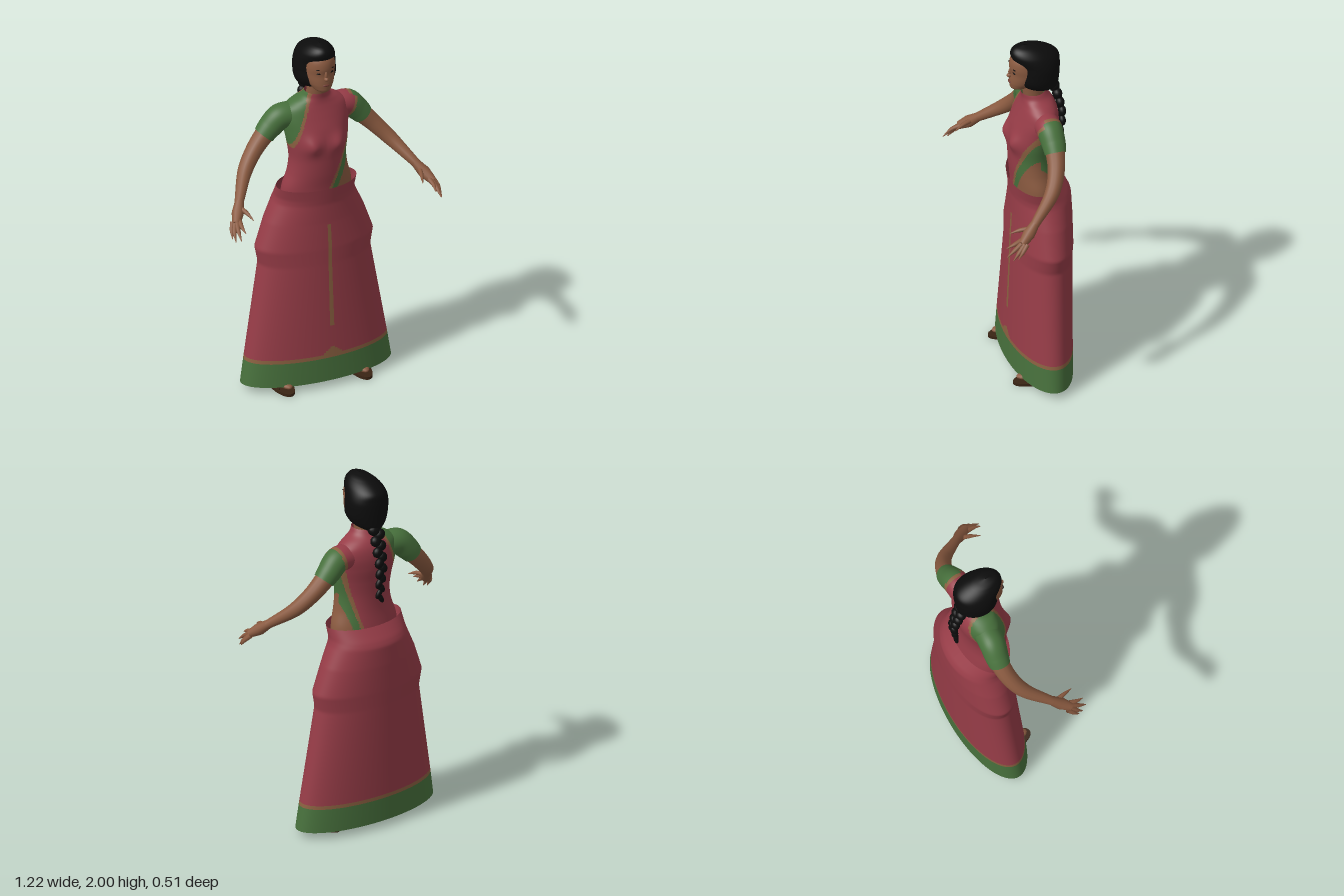
import * as THREE from 'three';

const mat = (name, color, side = THREE.DoubleSide) => {
  const m = new THREE.MeshStandardMaterial({ color, side });
  m.name = name;
  return m;
};

export function createModel() {
  const red = mat('red cloth', 0x963c47), green = mat('green cloth', 0x47703c);
  const gold = mat('gold trim', 0x8a6040), skin = mat('skin', 0x8a5a40);
  const hair = mat('black hair', 0x0c0c0c), leather = mat('brown leather', 0x3a2414);
  const dark = mat('dark eye', 0x17100d), lip = mat('lip', 0x6e3a30);
  const palette = [red, gold, green, skin];
  const RED = 0, GOLD = 1, GREEN = 2, SKIN = 3;

  const model = new THREE.Group();
  model.name = 'womanInDrapedDress';
  const add = (name, geo, material, parent = model) => {
    const mesh = new THREE.Mesh(geo, material);
    mesh.name = name;
    parent.add(mesh);
    return mesh;
  };

  // Elliptical loft; each ring is [y, half width, front z, back z]
  function loft(rings, n, rows, smooth = true, bump = null) {
    const ys = rings.map(r => r[0]), vals = rings.flatMap(r => r.slice(1));
    const Interp = smooth ? THREE.CubicInterpolant : THREE.LinearInterpolant;
    const f = new Interp(ys, vals, 3, new Float32Array(3));
    const pos = [], idx = [], y0 = ys[0], y1 = ys[ys.length - 1];
    for (let j = 0; j <= rows; j++) {
      const y = y0 + (y1 - y0) * j / rows;
      const [w, zf, zb] = f.evaluate(y);
      for (let i = 0; i < n; i++) {
        const a = i / n * Math.PI * 2, x = w * Math.sin(a), c = Math.cos(a);
        const z = (zf + zb) / 2 + (zf - zb) / 2 * c;
        pos.push(x, y, z + (bump && c > 0 ? bump(x, y) * c : 0));
        if (j < rows) {
          const k = j * n + i, l = j * n + (i + 1) % n;
          idx.push(k, l, k + n, l, l + n, k + n);
        }
      }
    }
    const geo = new THREE.BufferGeometry();
    geo.setAttribute('position', new THREE.Float32BufferAttribute(pos, 3));
    geo.setIndex(idx);
    geo.computeVertexNormals();
    return geo;
  }

  // Tapering tube through points, one radius per point
  function limb(points, radii, n = 20, sides = 14) {
    const curve = new THREE.CatmullRomCurve3(points.map(p => new THREE.Vector3(...p)));
    const geo = new THREE.TubeGeometry(curve, n, 1, sides);
    const p = geo.attributes.position, v = new THREE.Vector3();
    for (let i = 0; i <= n; i++) {
      const c = curve.getPointAt(i / n), t = curve.getUtoTmapping(i / n) * (radii.length - 1);
      const k = Math.min(Math.floor(t), radii.length - 2);
      const r = THREE.MathUtils.lerp(radii[k], radii[k + 1], t - k);
      for (let j = 0; j <= sides; j++) {
        const q = i * (sides + 1) + j;
        v.fromBufferAttribute(p, q).sub(c).multiplyScalar(r).add(c);
        p.setXYZ(q, v.x, v.y, v.z);
      }
    }
    return geo;
  }

  // Sorts quads into material groups by a rule on their centre
  function paint(geo, pick) {
    const idx = geo.index.array, p = geo.attributes.position, buckets = palette.map(() => []);
    for (let q = 0; q < idx.length / 6; q++) {
      const c = new THREE.Vector3(), quad = idx.slice(q * 6, q * 6 + 6);
      quad.forEach(i => c.add(new THREE.Vector3().fromBufferAttribute(p, i)));
      buckets[pick(c.divideScalar(6), q)].push(...quad);
    }
    geo.setIndex(buckets.flat());
    let start = 0;
    buckets.forEach((b, m) => { if (b.length) geo.addGroup(start, b.length, m); start += b.length; });
    return geo;
  }

  const ball = (name, material, [x, y, z], [sx, sy, sz], parent) => {
    const m = add(name, new THREE.SphereGeometry(1, 18, 12), material, parent);
    m.position.set(x, y, z);
    m.scale.set(sx, sy, sz);
    return m;
  };

  // Skirt with green hem, gold line and narrow front stripe
  const skirt = loft([
    [0.04, 0.43, 0.10, -0.237], [0.17, 0.41, 0.095, -0.24], [0.72, 0.318, 0.072, -0.252],
    [0.81, 0.335, 0.07, -0.255], [0.96, 0.282, 0.062, -0.258], [1.07, 0.232, 0.06, -0.257],
    [1.10, 0.224, 0.063, -0.243], [1.165, 0.225, 0.07, -0.19]], 192, 110, false);
  add('skirt', paint(skirt, (c, q) => {
    const peak = c.z > 0 ? 0.04 * Math.exp(-((c.x - 0.03) ** 2) / 0.0016) : 0;
    if (c.y < 0.175) return GREEN;
    if (c.y < 0.192 + peak) return GOLD;
    const column = q % 192;
    return column >= 1 && column < 3 && c.y > 0.36 && c.y < 0.955 ? GOLD : RED;
  }), palette);

  // Drape over the model's left shoulder, blouse beneath, bare waist on the left
  const lerp = THREE.MathUtils.mapLinear;
  function drape({ x, y, z }) {
    const front = z > -0.06;
    const right = front ? lerp(y, 1.15, 1.6, 0.02, 0.215) : lerp(y, 1.15, 1.6, 0.07, 0.185);
    const left = y > 1.41 ? lerp(y, 1.41, 1.68, -0.172, -0.068) : -1;
    if (x > right) {
      if (x < right + 0.018) return GOLD;
      return x > right + 0.055 && y < 1.345 ? SKIN : GREEN;
    }
    if (x < left) return GREEN;
    return x < left + 0.016 ? GOLD : RED;
  }
  const torso = loft([
    [1.08, 0.20, 0.05, -0.19], [1.165, 0.193, 0.055, -0.175], [1.25, 0.168, 0.065, -0.165],
    [1.33, 0.158, 0.07, -0.165], [1.42, 0.168, 0.072, -0.175], [1.50, 0.18, 0.055, -0.188],
    [1.57, 0.188, 0.03, -0.19], [1.62, 0.172, 0.012, -0.18], [1.65, 0.13, 0.003, -0.165],
    [1.675, 0.085, 0, -0.145], [1.705, 0.064, 0.003, -0.125]], 144, 110, true,
  (x, y) => 0.027 * Math.exp(-(((Math.abs(x) - 0.08) / 0.045) ** 2) - ((y - 1.43) / 0.05) ** 2));
  add('torso', paint(torso, drape), palette);
  add('neck', limb([[0, 1.62, -0.075], [0, 1.70, -0.06], [0, 1.78, -0.05]], [0.06, 0.052, 0.052]), skin);

  // Head and face
  const head = new THREE.Group();
  head.name = 'head';
  model.add(head);
  add('face', loft([
    [1.732, 0.004, 0.04, 0.02], [1.74, 0.03, 0.056, -0.015], [1.77, 0.06, 0.066, -0.07],
    [1.80, 0.074, 0.066, -0.10], [1.84, 0.082, 0.062, -0.12], [1.88, 0.083, 0.066, -0.12],
    [1.92, 0.075, 0.058, -0.11], [1.96, 0.05, 0.03, -0.08]], 48, 36), skin, head);
  ball('nose', skin, [0, 1.822, 0.066], [0.012, 0.012, 0.016], head);
  ball('noseBridge', skin, [0, 1.842, 0.061], [0.008, 0.026, 0.012], head);
  ball('lips', lip, [0, 1.784, 0.065], [0.02, 0.007, 0.008], head);
  for (const s of [-1, 1]) {
    ball('eye', dark, [s * 0.035, 1.855, 0.052], [0.014, 0.006, 0.006], head);
    ball('eyebrow', dark, [s * 0.037, 1.878, 0.053], [0.018, 0.003, 0.005], head);
  }

  // Hair cap and plait
  add('hair', loft([
    [1.71, 0.03, -0.09, -0.185], [1.74, 0.08, -0.02, -0.195], [1.78, 0.107, 0.025, -0.20],
    [1.85, 0.114, 0.028, -0.205], [1.89, 0.11, 0.03, -0.205], [1.93, 0.097, 0.054, -0.198],
    [1.955, 0.083, 0.06, -0.17], [1.98, 0.058, 0.048, -0.12], [1.994, 0.033, 0.025, -0.075],
    [2.0, 0.002, -0.01, -0.03]], 48, 48), hair, head);
  const plait = new THREE.CatmullRomCurve3([[1.75, -0.165], [1.65, -0.195], [1.52, -0.222],
    [1.42, -0.213], [1.33, -0.208]].map(([y, z]) => new THREE.Vector3(0, y, z)));
  const plaitGroup = new THREE.Group();
  plaitGroup.name = 'plait';
  model.add(plaitGroup);
  for (let i = 0; i < 15; i++) {
    const t = i / 14, p = plait.getPointAt(t), r = 0.036 - 0.022 * t, s = i % 2 ? 1 : -1;
    const strand = ball('plaitStrand', hair, [s * r * 0.45, p.y, p.z], [r, 0.03, r * 0.85], plaitGroup);
    strand.rotation.z = s * 0.5;
  }

  // Arms, sleeves, hands, legs and sandals, mirrored
  for (const s of [-1, 1]) {
    const side = s > 0 ? 'left' : 'right';
    const flip = pts => pts.map(([x, y, z]) => [s * x, y, z]);
    const sleeve = limb(flip([[0.12, 1.57, -0.09], [0.195, 1.565, -0.095],
      [0.25, 1.515, -0.1], [0.285, 1.475, -0.1]]), [0.07, 0.07, 0.064, 0.057], 40, 40);
    add(side + 'Sleeve', paint(sleeve, drape), palette);
    add(side + 'Arm', limb(flip([[0.2, 1.56, -0.1], [0.27, 1.49, -0.1], [0.345, 1.41, -0.085],
      [0.42, 1.325, -0.04], [0.515, 1.21, 0.085]]), [0.055, 0.053, 0.046, 0.04, 0.024], 30), skin);

    const hand = new THREE.Group();
    hand.name = side + 'Hand';
    model.add(hand);
    add('palm', limb(flip([[0.51, 1.215, 0.08], [0.54, 1.175, 0.125], [0.568, 1.14, 0.168]]),
      [0.024, 0.033, 0.022]), skin, hand);
    const fingers = [
      [[0.58, 1.14, 0.145], [0.598, 1.105, 0.175], [0.604, 1.07, 0.2]],
      [[0.572, 1.135, 0.16], [0.59, 1.1, 0.195], [0.596, 1.062, 0.225]],
      [[0.565, 1.14, 0.172], [0.575, 1.11, 0.215], [0.578, 1.078, 0.255]],
      [[0.55, 1.15, 0.17], [0.555, 1.135, 0.21], [0.55, 1.115, 0.25]],
      [[0.52, 1.195, 0.11], [0.505, 1.185, 0.165], [0.49, 1.163, 0.215]]];
    for (const f of fingers) add('finger', limb(flip(f), [0.014, 0.011, 0.002], 8, 8), skin, hand);

    add(side + 'Leg', limb(flip([[0.1, 0.95, -0.09], [0.16, 0.5, -0.09], [0.21, 0.13, -0.09],
      [0.215, 0.04, -0.09]]), [0.09, 0.065, 0.036, 0.034]), skin);
    ball(side + 'Foot', skin, [s * 0.222, 0.04, -0.015], [0.04, 0.024, 0.112]);
    const sole = add(side + 'Sole', new THREE.CylinderGeometry(1, 1, 0.016, 32), leather);
    sole.position.set(s * 0.225, 0.008, -0.015);
    sole.scale.set(0.054, 1, 0.13);
    const strap = add(side + 'Strap', new THREE.TorusGeometry(0.04, 0.006, 8, 16, Math.PI), leather);
    strap.position.set(s * 0.222, 0.014, 0.035);
    strap.scale.set(1, 1.1, 2);
  }
  return model;
}
